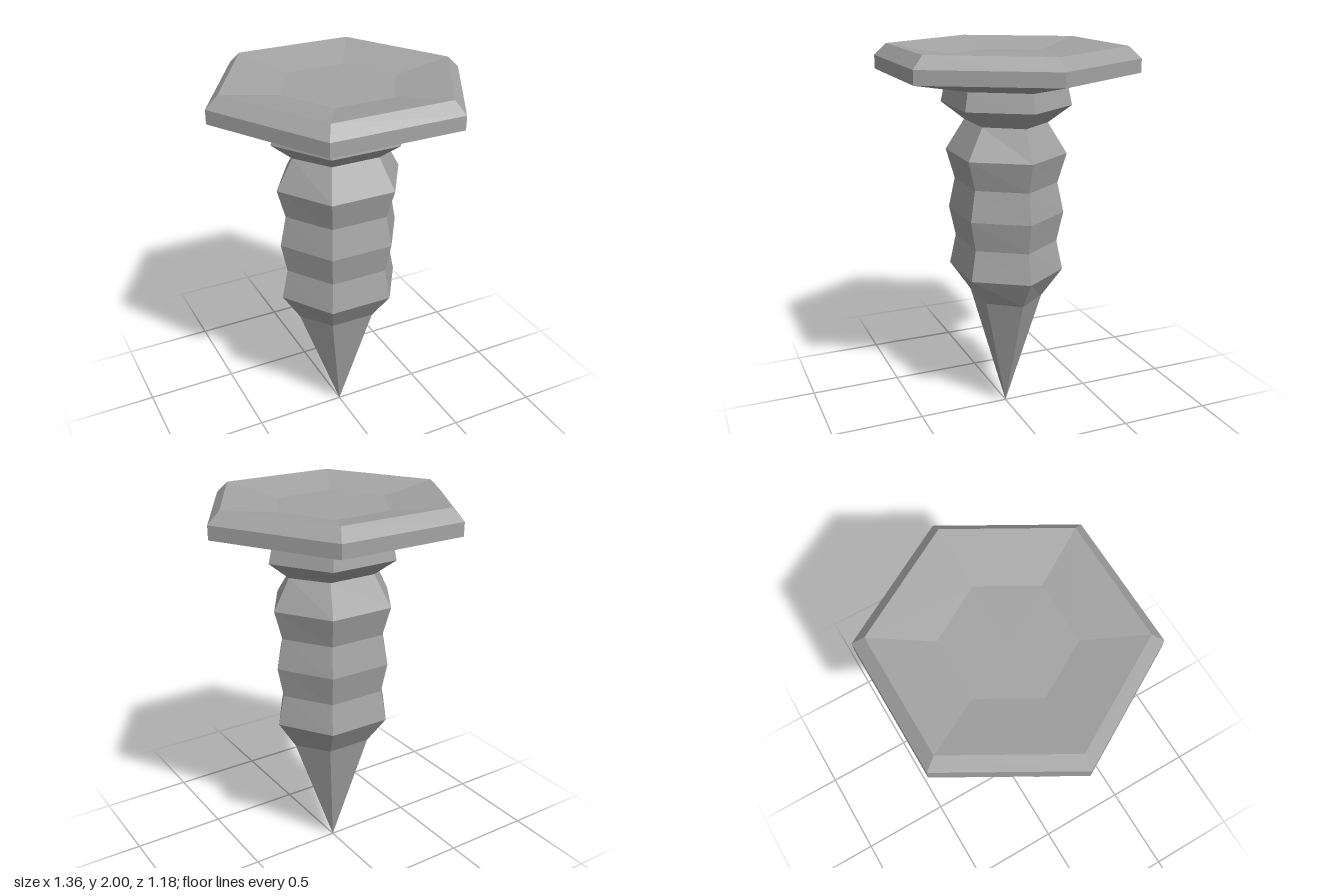
import * as THREE from 'three';

const SIDES = 6;

// Faceted six-sided skin through rings [y, radius along x, half depth along z], listed from bottom to outside to top
function hexLoft(rings) {
  const point = ([y, rx, hz], i) => {
    const a = (i % SIDES) * Math.PI * 2 / SIDES;
    return [rx * Math.cos(a), y, hz * Math.sin(a) / Math.sin(Math.PI / 3)];
  };
  const positions = [];
  for (let r = 0; r < rings.length - 1; r++) {
    const low = rings[r], high = rings[r + 1];
    for (let i = 0; i < SIDES; i++) {
      const a = point(low, i), b = point(low, i + 1);
      const c = point(high, i), d = point(high, i + 1);
      if (high[1] > 0) positions.push(...a, ...c, ...d);
      if (low[1] > 0) positions.push(...a, ...d, ...b);
    }
  }
  const geometry = new THREE.BufferGeometry();
  geometry.setAttribute('position', new THREE.Float32BufferAttribute(positions, 3));
  geometry.computeVertexNormals();
  return geometry;
}

export function createModel() {
  const model = new THREE.Group();
  model.name = 'bolt';
  const steel = new THREE.MeshStandardMaterial({ color: 0xa3a3a3, flatShading: true });
  steel.name = 'steel grey';

  const add = (name, rings) => {
    const mesh = new THREE.Mesh(hexLoft(rings), steel);
    mesh.name = name;
    model.add(mesh);
  };

  // Pointed tip
  add('tip', [
    [0, 0, 0],
    [0.665, 0.24, 0.16],
    [0.82, 0.338, 0.26],
  ]);

  // Ridged shank
  add('shank', [
    [0.82, 0.338, 0.26],
    [0.98, 0.305, 0.23],
    [1.14, 0.338, 0.26],
    [1.30, 0.305, 0.23],
    [1.455, 0.348, 0.27],
    [1.615, 0.26, 0.18],
  ]);

  // Flared collar under the head
  add('collar', [
    [1.615, 0.26, 0.18],
    [1.705, 0.37, 0.288],
    [1.80, 0.347, 0.27],
  ]);

  // Bevelled hexagonal head with a shallow dished top
  add('head', [
    [1.80, 0.347, 0.27],
    [1.87, 0.68, 0.59],
    [1.94, 0.68, 0.59],
    [2.00, 0.615, 0.534],
    [1.95, 0.31, 0.268],
    [1.95, 0, 0],
  ]);

  return model;
}
